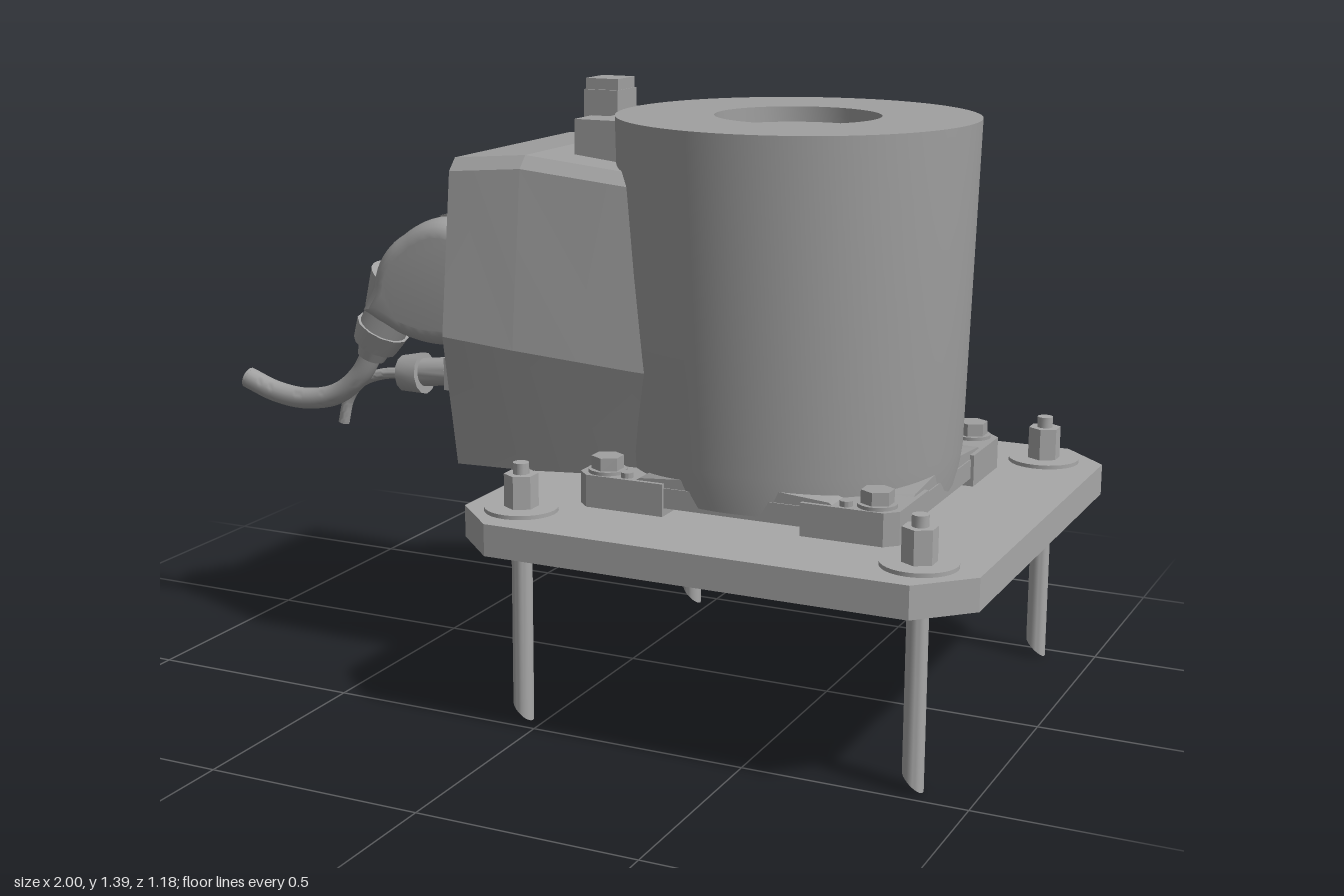
import * as THREE from 'three';
import { toCreasedNormals } from 'three/addons/utils/BufferGeometryUtils.js';

export function createModel() {
  const root = new THREE.Group();
  const castGrey = new THREE.MeshStandardMaterial({ color: 0xa0a0a0 });
  castGrey.name = 'castGrey';
  const plateGrey = new THREE.MeshStandardMaterial({ color: 0xa8a8a8 });
  plateGrey.name = 'plateGrey';

  const V = (x, y, z) => new THREE.Vector3(x, y, z);
  function add(name, geo, mat = castGrey, crease = 0.55) {
    const m = new THREE.Mesh(toCreasedNormals(geo, crease), mat);
    m.name = name;
    root.add(m);
    return m;
  }
  // box from min and max corners
  function box(name, x0, x1, y0, y1, z0, z1, mat) {
    const g = new THREE.BoxGeometry(x1 - x0, y1 - y0, z1 - z0);
    g.translate((x0 + x1) / 2, (y0 + y1) / 2, (z0 + z1) / 2);
    return add(name, g, mat);
  }
  // cylinder or cone between two points
  function rod(name, a, b, ra, rb = ra, sides = 24, mat) {
    const dir = b.clone().sub(a);
    const g = new THREE.CylinderGeometry(rb, ra, dir.length(), sides);
    g.applyQuaternion(new THREE.Quaternion().setFromUnitVectors(V(0, 1, 0), dir.normalize()));
    g.translate((a.x + b.x) / 2, (a.y + b.y) / 2, (a.z + b.z) / 2);
    return add(name, g, mat, sides === 6 ? 0.3 : 0.55);
  }
  const shapeOf = pts => new THREE.Shape(pts.map(p => new THREE.Vector2(p[0], p[1])));
  // horizontal slab with cut corners
  function slab(name, cx, hx, hz, c, y0, y1, mat) {
    const s = shapeOf([[-hx + c, -hz], [hx - c, -hz], [hx, -hz + c], [hx, hz - c],
      [hx - c, hz], [-hx + c, hz], [-hx, hz - c], [-hx, -hz + c]]);
    const g = new THREE.ExtrudeGeometry(s, { depth: y1 - y0, bevelEnabled: false });
    g.rotateX(-Math.PI / 2).translate(cx, y0, 0);
    return add(name, g, mat);
  }

  // ground plate with four anchors
  slab('groundPlate', 0.41, 0.59, 0.588, 0.11, 0.415, 0.487, plateGrey);
  for (const x of [-0.05, 0.865]) for (const z of [-0.455, 0.455]) {
    const g = new THREE.CylinderGeometry(0.023, 0.023, 0.5, 24);
    const p = g.attributes.position;
    for (let i = 0; i < p.count; i++) // slanted tip
      p.setY(i, p.getY(i) > 0 ? 0.5 : 0.021 - 0.9 * p.getX(i));
    g.translate(x, 0, z);
    add('anchorRod', g, plateGrey);
    rod('anchorWasher', V(x, 0.485, z), V(x, 0.496, z), 0.082, 0.082, 32, plateGrey);
    rod('anchorNut', V(x, 0.495, z), V(x, 0.57, z), 0.038, 0.038, 6, plateGrey);
    rod('anchorTip', V(x, 0.56, z), V(x, 0.595, z), 0.018, 0.018, 16, plateGrey);
  }

  // motor foot flange with corner pads and bolts
  slab('footFlange', 0.412, 0.365, 0.365, 0.06, 0.505, 0.55);
  for (const sx of [-1, 1]) for (const sz of [-1, 1]) {
    const pad = shapeOf([[0.16, 0.16], [0.372, 0.16], [0.372, 0.345], [0.345, 0.372], [0.16, 0.372]]
      .map(([a, b]) => [a * sx, b * sz]));
    const g = new THREE.ExtrudeGeometry(pad, { depth: 0.073, bevelEnabled: false });
    g.rotateX(-Math.PI / 2).translate(0.412, 0.487, 0);
    add('cornerPad', g);
    const bx = 0.412 + 0.315 * sx, bz = 0.325 * sz;
    rod('boltWasher', V(bx, 0.558, bz), V(bx, 0.568, bz), 0.043);
    rod('flangeBolt', V(bx, 0.565, bz), V(bx, 0.597, bz), 0.036, 0.036, 6);
    rod('flangePin', V(0.412 + 0.255 * sx, 0.555, 0.35 * sz), V(0.412 + 0.255 * sx, 0.572, 0.35 * sz), 0.014);
    rod('plateScrew', V(bx, 0.411, bz), V(bx, 0.416, bz), 0.015, 0.015, 16, plateGrey);
    rod('platePin', V(0.412 + 0.255 * sx, 0.411, 0.35 * sz), V(0.412 + 0.255 * sx, 0.416, 0.35 * sz), 0.01, 0.01, 16, plateGrey);
  }
  // shallow gables between the pads
  for (let k = 0; k < 4; k++) {
    const s = shapeOf([[-0.25, 0.545], [0.25, 0.545], [0.22, 0.565], [0.03, 0.58], [-0.03, 0.58], [-0.22, 0.565]]);
    const g = new THREE.ExtrudeGeometry(s, { depth: 0.1, bevelEnabled: false });
    g.translate(0, 0, 0.262).rotateY(k * Math.PI / 2).translate(0.412, 0, 0);
    add('flangeRib', g);
  }
  rod('centrePeg', V(0.412, 0.485, 0), V(0.412, 0.52, 0), 0.015);

  // drum with recessed top
  const drum = [[0, 0.515], [0.372, 0.515], [0.383, 0.6], [0.404, 1.33], [0.185, 1.33], [0.185, 1.295], [0, 1.295]];
  add('drum', new THREE.LatheGeometry(drum.map(p => new THREE.Vector2(...p)), 80)).position.x = 0.405;

  // terminal housing: cross-sections along x, running into the drum
  const sections = [ // x, bottom y, waist y, shoulder y, top y, width scale
    [-0.31, 0.52, 0.83, 1.2, 1.228, 1],
    [-0.13, 0.525, 0.815, 1.215, 1.243, 1],
    [0.15, 0.54, 0.79, 1.185, 1.212, 0.93],
    [0.3, 0.55, 0.78, 1.17, 1.195, 0.89]];
  const pos = [];
  const rings = sections.map(([x, b, w, s, t, k]) => {
    const half = [[b, 0.285], [w, 0.345], [s, 0.302], [t, 0.275]];
    return [...half.map(([y, z]) => [x, y, -z * k]), ...half.reverse().map(([y, z]) => [x, y, z * k])];
  });
  for (let r = 0; r + 1 < rings.length; r++) for (let i = 0; i < 8; i++) {
    const j = (i + 1) % 8, a = rings[r], b = rings[r + 1];
    pos.push(...a[i], ...a[j], ...b[j], ...a[i], ...b[j], ...b[i]);
  }
  for (let i = 1; i < 7; i++) pos.push(...rings[0][0], ...rings[0][i + 1], ...rings[0][i]);
  const housing = new THREE.BufferGeometry();
  housing.setAttribute('position', new THREE.Float32BufferAttribute(pos, 3));
  add('terminalHousing', housing, castGrey, 0.1);

  // lifting block and side clips on top of the housing
  box('liftingBlock', -0.1, -0.015, 1.22, 1.37, -0.05, 0.05);
  box('liftingBlockCap', -0.098, -0.017, 1.37, 1.395, -0.043, 0.043);
  box('clipBase', -0.065, 0.04, 1.21, 1.25, -0.165, 0.165);
  for (const s of [-1, 1]) {
    const [z0, z1] = s < 0 ? [-0.165, -0.08] : [0.08, 0.165];
    box('sideClip', -0.065, 0.04, 1.24, 1.315, z0, z1);
    rod('clipScrew', V(-0.075, 1.28, 0.122 * s), V(-0.06, 1.28, 0.122 * s), 0.018);
  }
  box('clipBridge', -0.02, 0.04, 1.24, 1.315, -0.08, 0.08);

  // large elbow connector
  const elbow = new THREE.Shape();
  elbow.moveTo(-0.32, 0.8);
  elbow.lineTo(-0.32, 1.05);
  elbow.quadraticCurveTo(-0.4, 1.085, -0.48, 1.02);
  elbow.quadraticCurveTo(-0.55, 0.98, -0.555, 0.9);
  elbow.lineTo(-0.585, 0.85);
  elbow.lineTo(-0.5, 0.81);
  elbow.quadraticCurveTo(-0.42, 0.78, -0.32, 0.8);
  const eg = new THREE.ExtrudeGeometry(elbow, {
    depth: 0.1, bevelThickness: 0.055, bevelSize: 0.04, bevelOffset: -0.025, bevelSegments: 5, curveSegments: 10 });
  add('elbowBody', eg.translate(0, 0, 0.095), castGrey, 0.7);
  box('elbowBase', -0.34, -0.305, 0.79, 1.06, 0.04, 0.25);
  rod('elbowCap', V(-0.37, 1.05, 0.145), V(-0.38, 1.085, 0.145), 0.045);
  rod('elbowNeck', V(-0.53, 0.91, 0.145), V(-0.575, 0.825, 0.145), 0.085, 0.062);
  rod('elbowGland', V(-0.57, 0.835, 0.145), V(-0.598, 0.782, 0.145), 0.058);
  rod('elbowGlandNut', V(-0.594, 0.79, 0.145), V(-0.618, 0.745, 0.145), 0.066, 0.055, 12);
  rod('elbowSleeve', V(-0.61, 0.76, 0.145), V(-0.63, 0.715, 0.145), 0.045, 0.034);

  // small plug connector
  box('plugPlate', -0.33, -0.305, 0.585, 0.73, -0.065, 0.045);
  box('plugSocket', -0.41, -0.32, 0.61, 0.72, -0.055, 0.035);
  box('plugBody', -0.5, -0.4, 0.62, 0.7, -0.045, 0.025);
  box('plugLatch', -0.44, -0.37, 0.6, 0.69, -0.062, 0.042);
  rod('plugGland', V(-0.5, 0.66, -0.01), V(-0.58, 0.65, -0.01), 0.035);
  rod('plugRing', V(-0.575, 0.648, -0.01), V(-0.635, 0.642, -0.01), 0.052, 0.045, 12);
  const hook = new THREE.CatmullRomCurve3([V(-0.41, 0.715, -0.01), V(-0.45, 0.71, -0.01), V(-0.475, 0.72, -0.01), V(-0.485, 0.74, -0.01)]);
  add('plugHook', new THREE.TubeGeometry(hook, 12, 0.006, 8));
  rod('sidePort', V(-0.305, 0.88, -0.06), V(-0.36, 0.88, -0.06), 0.028);
  rod('sidePortCap', V(-0.355, 0.88, -0.06), V(-0.4, 0.88, -0.06), 0.036);
  rod('blindPlug', V(-0.305, 0.8, -0.1), V(-0.32, 0.8, -0.1), 0.02);

  // cables with closed ends
  function cable(name, pts, r) {
    const curve = new THREE.CatmullRomCurve3(pts);
    add(name, new THREE.TubeGeometry(curve, 40, r, 16), castGrey, 1);
    const end = curve.getPoint(1), t = curve.getTangent(1);
    rod(name + 'End', end.clone().addScaledVector(t, -0.005), end.clone().addScaledVector(t, 0.001), r, r, 16);
  }
  cable('thickCable', [V(-0.615, 0.75, 0.145), V(-0.66, 0.67, 0.145), V(-0.73, 0.613, 0.145),
    V(-0.82, 0.592, 0.145), V(-0.91, 0.6, 0.145), V(-0.992, 0.627, 0.145)], 0.026);
  cable('thinCable', [V(-0.62, 0.643, -0.01), V(-0.7, 0.633, -0.01), V(-0.765, 0.605, -0.01),
    V(-0.8, 0.56, -0.01), V(-0.817, 0.498, -0.01)], 0.014);

  return root;
}
